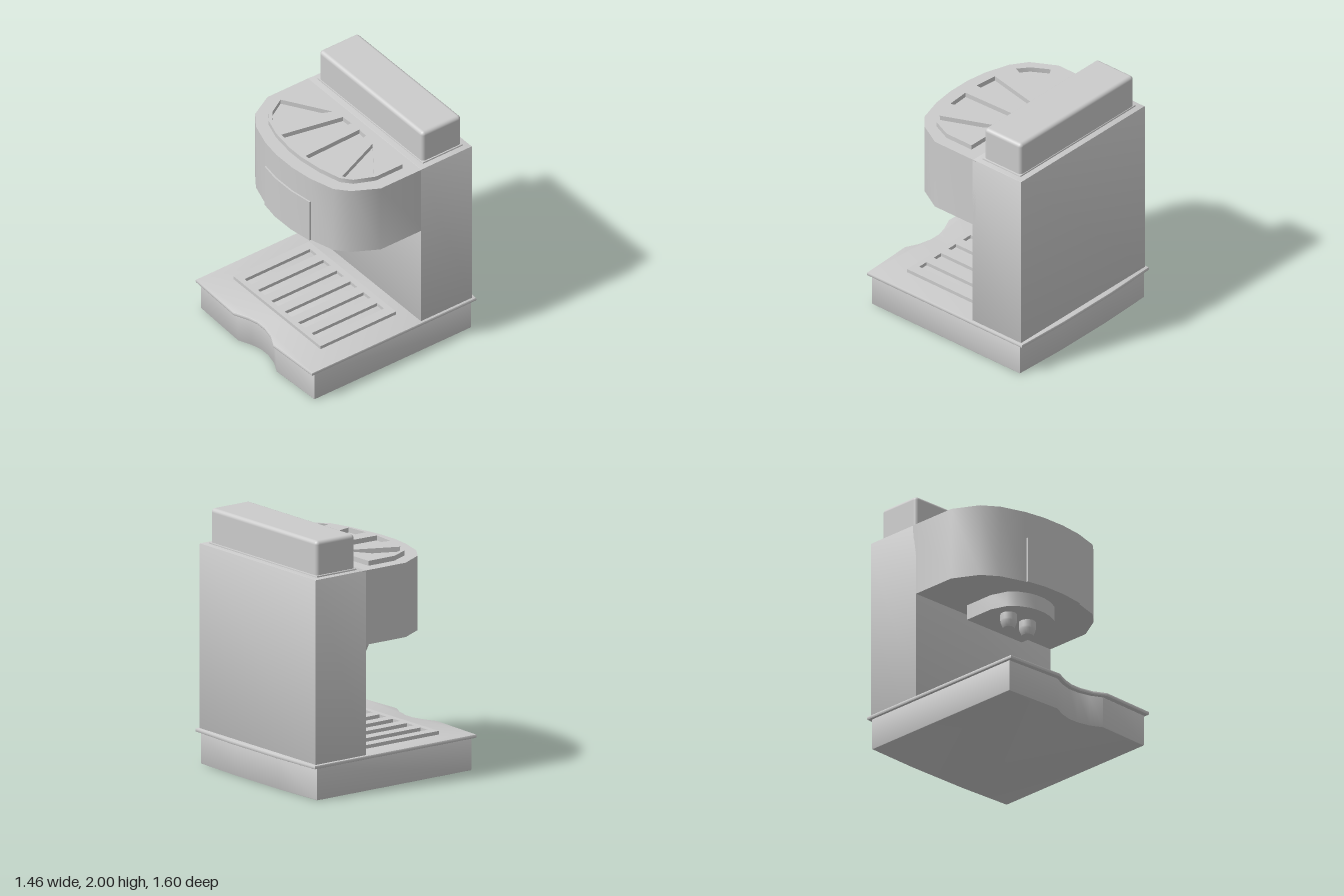
import * as THREE from 'three';
import { toCreasedNormals } from 'three/addons/utils/BufferGeometryUtils.js';
import { RoundedBoxGeometry } from 'three/addons/geometries/RoundedBoxGeometry.js';

const grey = new THREE.MeshStandardMaterial({ color: 0xcccccc });

function part(parent, name, geometry) {
  const mesh = new THREE.Mesh(geometry, grey);
  mesh.name = name;
  parent.add(mesh);
  return mesh;
}

// Plan points are [x, z]; the shape's y axis is -z.
const toV2 = (pts) => pts.map(([x, z]) => new THREE.Vector2(x, -z));

// Solid standing on a plan outline, from height y0 to y1, with optional openings.
function slab(pts, y0, y1, { holes = [], bevel = 0 } = {}) {
  const shape = new THREE.Shape(toV2(pts));
  for (const h of holes) shape.holes.push(new THREE.Path(toV2(h)));
  const geo = new THREE.ExtrudeGeometry(shape, {
    depth: y1 - y0 - 2 * bevel,
    bevelEnabled: bevel > 0,
    bevelSize: bevel,
    bevelThickness: bevel,
    bevelOffset: -bevel,
    bevelSegments: 2,
  });
  geo.rotateX(-Math.PI / 2);
  geo.translate(0, y0 + bevel, 0);
  return toCreasedNormals(geo, 0.6);
}

const rect = (x0, x1, z0, z1) => [[x0, z1], [x1, z1], [x1, z0], [x0, z0]];
const scale = (pts, sx, sz, dz = 0) => pts.map(([x, z]) => [x * sx, z * sz + dz]);

export function createModel() {
  const model = new THREE.Group();
  model.name = 'coffeeMachine';

  // Base with a scooped front edge and a projecting lip
  const basePlan = [
    [-0.73, 0.775], [-0.23, 0.795], [-0.12, 0.745], [-0.03, 0.72], [0.06, 0.72],
    [0.17, 0.745], [0.27, 0.795], [0.73, 0.775],
    [0.73, -0.78], [0.27, -0.8], [-0.27, -0.8], [-0.73, -0.78],
  ];
  part(model, 'base', slab(scale(basePlan, 0.973, 0.953), 0, 0.255, { bevel: 0.006 }));
  part(model, 'baseLip', slab(basePlan, 0.25, 0.28, { bevel: 0.01 }));

  // Slotted drip tray
  const traySlots = [];
  for (let i = 0; i < 6; i++) {
    const x = -0.48 + i * 0.168;
    traySlots.push(rect(x, x + 0.085, -0.12, 0.5));
  }
  part(model, 'dripTray', slab(rect(-0.56, 0.53, -0.17, 0.545), 0.275, 0.308, { holes: traySlots }));

  // Rear column and water tank
  part(model, 'column', slab(rect(-0.71, 0.71, -0.755, -0.27), 0.27, 1.722, { bevel: 0.008 }));
  const tank = part(model, 'waterTank', new RoundedBoxGeometry(1.3, 0.34, 0.37, 4, 0.03));
  tank.position.set(0, 1.83, -0.515);
  part(model, 'tankCollar', slab(rect(-0.66, 0.66, -0.705, -0.325), 1.71, 1.735, { bevel: 0.006 }));

  // Overhanging head with a bowed front
  const headPlan = [
    [-0.71, -0.3], [-0.71, 0.11], [-0.6, 0.31], [-0.47, 0.4], [-0.27, 0.463], [-0.1, 0.488],
    [0.1, 0.488], [0.29, 0.463], [0.5, 0.4], [0.6, 0.31], [0.71, 0.11], [0.71, -0.3],
  ];
  part(model, 'head', slab(headPlan, 1.14, 1.72));
  part(model, 'frontPanel', slab([
    [-0.26, 0.44], [-0.26, 0.477], [-0.1, 0.503], [0.1, 0.503], [0.297, 0.474], [0.297, 0.44],
  ], 1.14, 1.505));

  // Cup warmer with a fan of shallow openings
  const warmerPlan = [
    [-0.61, -0.17], [-0.61, 0.08], [-0.53, 0.24], [-0.43, 0.31], [-0.27, 0.36], [-0.07, 0.385],
    [0.07, 0.385], [0.27, 0.36], [0.46, 0.31], [0.54, 0.24], [0.61, 0.08], [0.61, -0.17],
    [0.28, -0.172], [0.13, -0.195], [-0.1, -0.195], [-0.24, -0.172],
  ];
  const fan = [
    [[-0.23, -0.145], [-0.585, 0.08], [-0.505, 0.215], [-0.42, 0.285]],
    [[-0.13, -0.165], [-0.235, 0.335], [-0.045, 0.355], [-0.03, -0.17]],
    [[0.07, -0.17], [0.085, 0.35], [0.275, 0.335], [0.16, -0.165]],
    [[0.27, -0.145], [0.455, 0.285], [0.525, 0.215], [0.585, 0.08]],
  ];
  part(model, 'cupWarmer', slab(warmerPlan, 1.715, 1.758, { holes: fan }));

  // Brew block under the head
  part(model, 'brewBlock', slab(scale(headPlan, 0.408, 0.634, 0.04), 1.02, 1.15));

  // Pair of tapered spouts
  const spoutProfile = [
    [0, 0.91], [0.042, 0.91], [0.046, 0.915], [0.062, 0.955], [0.064, 0.97], [0.064, 1.03],
  ].map(([r, y]) => new THREE.Vector2(r, y));
  for (const x of [-0.125, 0.073]) {
    const spout = part(model, 'spout', toCreasedNormals(new THREE.LatheGeometry(spoutProfile, 24), 0.6));
    spout.position.set(x, 0, 0.133);
  }

  return model;
}
